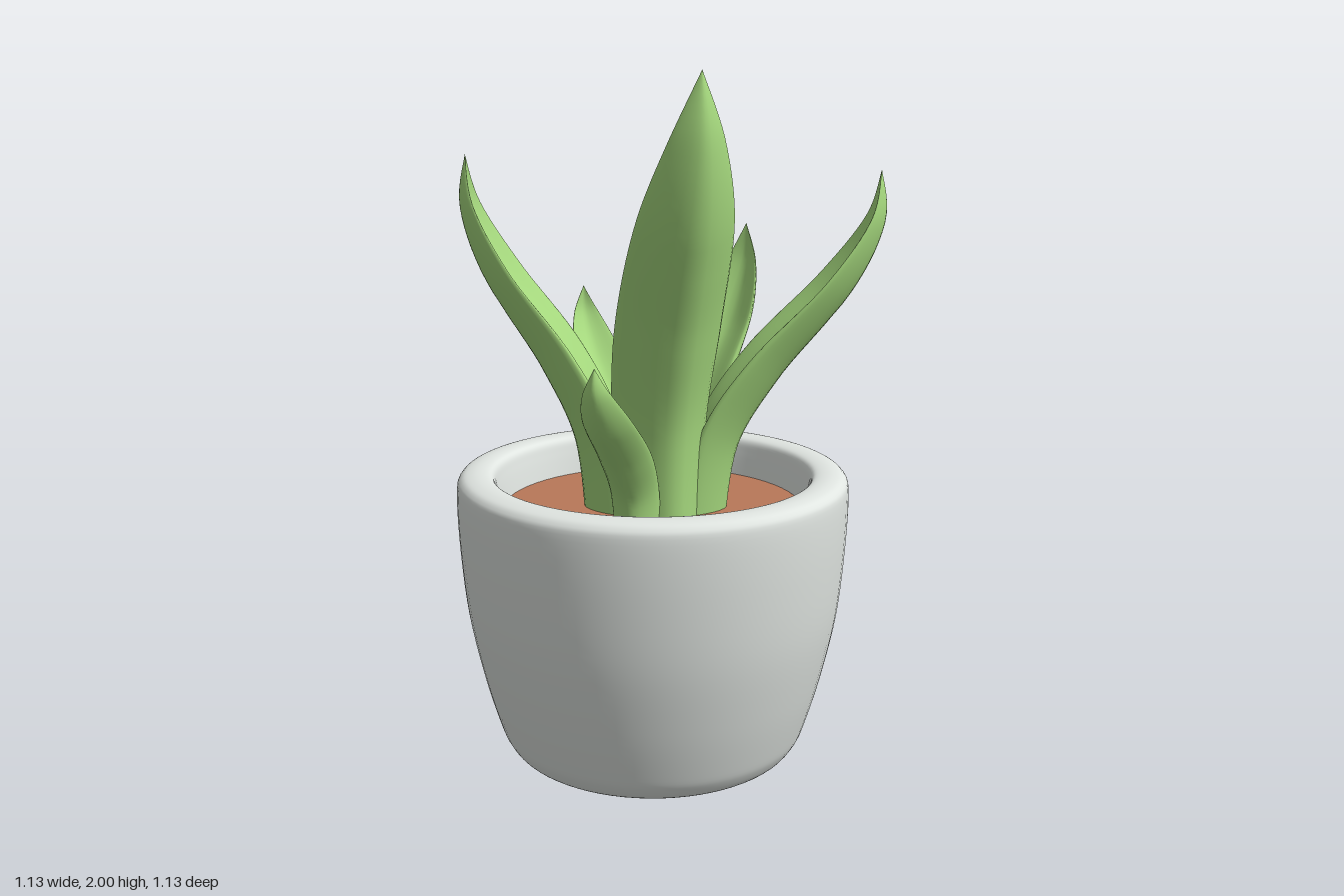
import * as THREE from 'three';

const material = (color) => new THREE.MeshStandardMaterial({ color });

// Smooth curve through [a, b] pairs
const spline = (pairs) => new THREE.SplineCurve(pairs.map(([a, b]) => new THREE.Vector2(a, b)));

// Rises straight, leans outward, then turns up again (share of reach, share of height)
const leanCurve = spline([[0, 0], [0.09, 0.25], [0.35, 0.46], [0.75, 0.68], [0.97, 0.86], [1, 1]]);
// Half width along the leaf (share of length, share of width)
const widthCurve = spline([[0, 0.84], [0.2, 0.92], [0.42, 1], [0.65, 0.9], [0.86, 0.5], [1, 0]]);

// One thick, channelled leaf swept from the soil to its tip
function leafGeometry({ tip, base, width }) {
  const rows = 36, sides = 28, bottom = 0.72;
  const [tx, ty, tz] = tip;
  const reach = Math.hypot(tx, tz);
  const dir = new THREE.Vector3(tx / reach, 0, tz / reach);
  const side = new THREE.Vector3(dir.z, 0, -dir.x);
  const up = new THREE.Vector3(0, 1, 0);
  const positions = [], index = [];
  for (let i = 0; i <= rows; i++) {
    const t = i / rows;
    const p = leanCurve.getPoint(t), d = leanCurve.getTangent(t);
    const center = dir.clone().multiplyScalar(base + (reach - base) * p.x);
    center.y = bottom + (ty - bottom) * p.y;
    const slope = new THREE.Vector2(d.x * (reach - base), d.y * (ty - bottom)).normalize();
    const inward = dir.clone().multiplyScalar(-slope.y).addScaledVector(up, slope.x);
    const w = Math.max(0, widthCurve.getPoint(t).y) * width / 2;
    const thick = THREE.MathUtils.lerp(0.62, 0.25, Math.min(1, t * 1.8));
    for (let j = 0; j < sides; j++) {
      const a = (j / sides) * Math.PI * 2, u = Math.cos(a);
      const fold = 0.6 * (Math.pow(Math.abs(u), 1.6) - 0.48);
      const v = center.clone().addScaledVector(side, w * u)
        .addScaledVector(inward, w * (fold + thick * Math.sin(a)));
      positions.push(v.x, v.y, v.z);
      if (i < rows) {
        const k = i * sides + j, n = i * sides + (j + 1) % sides;
        index.push(k, n, k + sides, n, n + sides, k + sides);
      }
    }
  }
  const geometry = new THREE.BufferGeometry();
  geometry.setAttribute('position', new THREE.Float32BufferAttribute(positions, 3));
  geometry.setIndex(index);
  geometry.computeVertexNormals();
  return geometry;
}

export function createModel() {
  const model = new THREE.Group();
  model.name = 'pottedPlant';
  const add = (name, geometry, mat) => {
    const mesh = new THREE.Mesh(geometry, mat);
    mesh.name = name;
    model.add(mesh);
    return mesh;
  };

  // Pot with softly curved wall and flat, rounded rim
  const profile = spline([
    [0, 0], [0.2, 0.006], [0.34, 0.02], [0.405, 0.038], [0.438, 0.075], [0.46, 0.13], [0.5, 0.27],
    [0.54, 0.46], [0.56, 0.66], [0.565, 0.82], [0.553, 0.862], [0.52, 0.875], [0.48, 0.874],
    [0.46, 0.862], [0.451, 0.83], [0.442, 0.78], [0.43, 0.7],
  ]).getPoints(80);
  profile[0].x = 0;
  add('pot', new THREE.LatheGeometry(profile, 72), material(0xe0e5e1));

  // Soil disc
  const soil = add('soil', new THREE.CylinderGeometry(0.437, 0.42, 0.06, 64), material(0xb97859));
  soil.position.y = 0.73;

  // Leaves fanning out around the centre
  const green = material(0xa6d97e);
  const leaves = [
    { name: 'tallLeaf', tip: [0.33, 2.0, 0.19], base: 0.07, width: 0.31 },
    { name: 'backLeftLeaf', tip: [0.475, 1.73, -0.42], base: 0.125, width: 0.225 },
    { name: 'frontRightLeaf', tip: [-0.42, 1.77, 0.315], base: 0.11, width: 0.23 },
    { name: 'backRightLeaf', tip: [-0.52, 1.33, -0.26], base: 0.19, width: 0.16 },
    { name: 'backLeaf', tip: [-0.03, 1.545, -0.465], base: 0.15, width: 0.21 },
    { name: 'innerLeaf', tip: [-0.19, 1.48, -0.16], base: 0.05, width: 0.18 },
    { name: 'frontLeaf', tip: [0.22, 1.27, 0.475], base: 0.17, width: 0.155 },
  ];
  for (const leaf of leaves) add(leaf.name, leafGeometry(leaf), green);
  return model;
}
